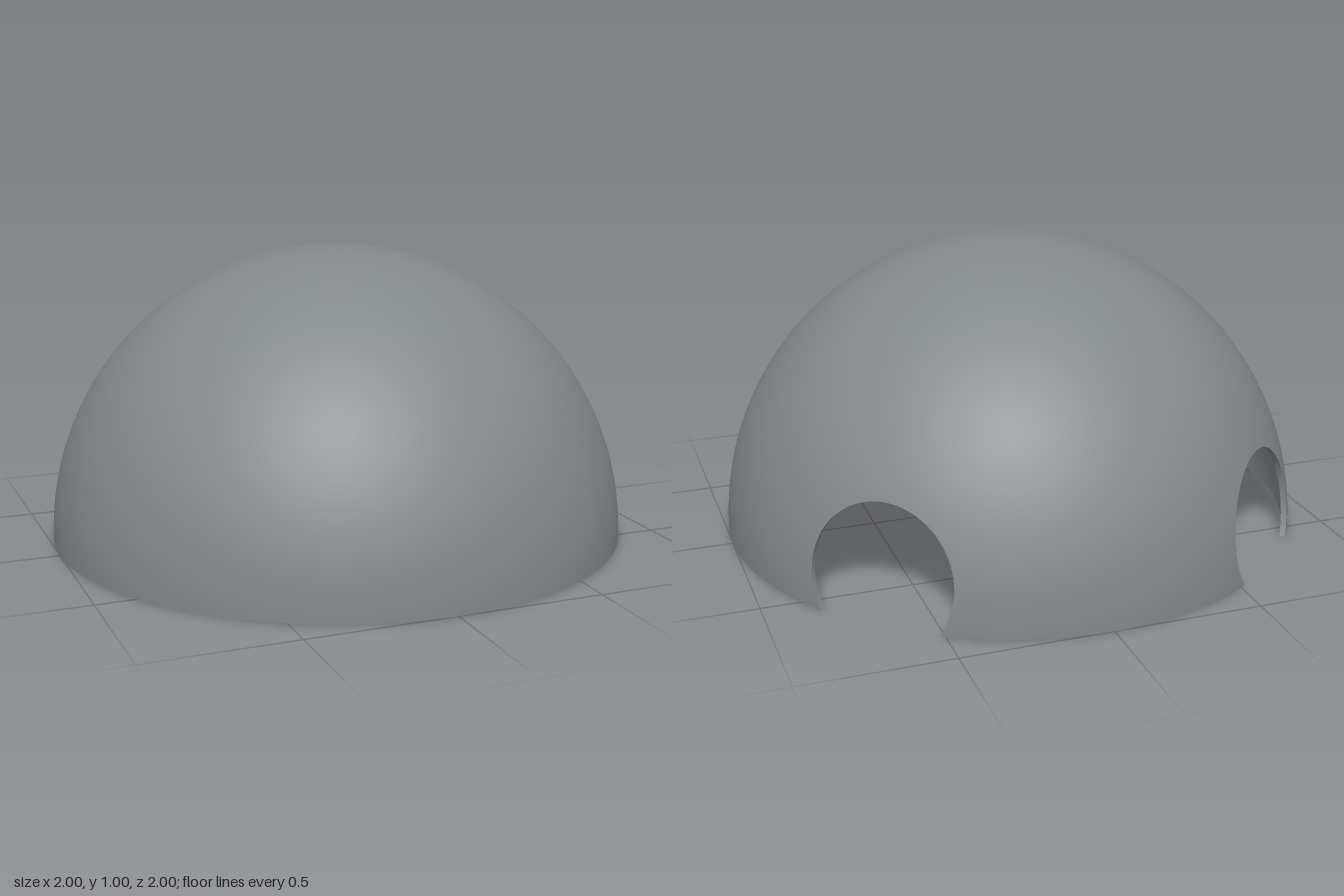
import * as THREE from 'three';
import { mergeGeometries } from 'three/addons/utils/BufferGeometryUtils.js';

const OUTER = 1, INNER = 0.98;
const HOLE = { azimuth: 43, radius: 0.248, height: 0.137 };
const EDGE0 = 21, EDGE1 = 65, TOP = 32, STEP = 2; // panel around each hole, degrees
const rad = THREE.MathUtils.degToRad, deg = THREE.MathUtils.radToDeg;
const lerp = THREE.MathUtils.lerp;

// Point on the dome; azimuth is measured from the back (-z) towards +x
function onDome(R, az, lat) {
  const a = rad(az), l = rad(lat);
  return new THREE.Vector3(R * Math.cos(l) * Math.sin(a), R * Math.sin(l), -R * Math.cos(l) * Math.cos(a));
}

// Grid surface whose faces and normals follow normalAt(point)
function surface(pointAt, normalAt, nu, nv) {
  const pos = [], nor = [], idx = [], pts = [];
  for (let j = 0; j <= nv; j++) for (let i = 0; i <= nu; i++) {
    const p = pointAt(i / nu, j / nv);
    pts.push(p);
    pos.push(p.x, p.y, p.z);
    nor.push(...normalAt(p).normalize().toArray());
  }
  const tri = new THREE.Triangle(), face = new THREE.Vector3();
  const add = (a, b, c) => {
    tri.set(pts[a], pts[b], pts[c]).getNormal(face);
    if (face.dot(normalAt(pts[a])) < 0) idx.push(a, c, b);
    else idx.push(a, b, c);
  };
  for (let j = 0; j < nv; j++) for (let i = 0; i < nu; i++) {
    const a = j * (nu + 1) + i, b = a + 1, c = a + nu + 1, d = c + 1;
    add(a, b, c);
    if (j < nv - 1 || pts[c].distanceTo(pts[d]) > 1e-6) add(b, d, c);
  }
  const g = new THREE.BufferGeometry();
  g.setAttribute('position', new THREE.Float32BufferAttribute(pos, 3));
  g.setAttribute('normal', new THREE.Float32BufferAttribute(nor, 3));
  g.setIndex(idx);
  return g;
}

// Hole outline as [azimuth, latitude], from one foot over the top to the other
function holeEdge(R, t) {
  const foot = -Math.asin(HOLE.height / HOLE.radius);
  const phi = lerp(Math.PI - foot, foot, t);
  const lat = Math.asin((HOLE.height + HOLE.radius * Math.sin(phi)) / R);
  const side = Math.asin(HOLE.radius * Math.cos(phi) / (R * Math.cos(lat)));
  return [HOLE.azimuth + deg(side), deg(lat)];
}

// Panel border: up one side, across and down the other
const across = EDGE1 - EDGE0, borderLength = 2 * TOP + across;
function panelEdge(t) {
  const d = t * borderLength;
  if (d < TOP) return [EDGE0, d];
  if (d < TOP + across) return [EDGE0 + d - TOP, TOP];
  return [EDGE1, borderLength - d];
}

// One skin of the dome with both holes left open
function skin(R, sign) {
  const normal = p => p.clone().multiplyScalar(sign);
  const patch = (a0, a1, l0, l1) => surface(
    (u, v) => onDome(R, lerp(a0, a1, u), lerp(l0, l1, v)), normal,
    Math.round((a1 - a0) / STEP), Math.round((l1 - l0) / STEP));
  const holed = side => surface((u, v) => {
    const h = holeEdge(R, u), e = panelEdge(u);
    return onDome(R, side * lerp(h[0], e[0], v), lerp(h[1], e[1], v));
  }, normal, borderLength / STEP, 12);
  return mergeGeometries([
    patch(0, 360, TOP, 90),
    patch(-EDGE0, EDGE0, 0, TOP),
    patch(EDGE1, 360 - EDGE1, 0, TOP),
    holed(1), holed(-1),
  ]);
}

// Cut thickness around a hole, facing the hole's axis
function holeRim(side) {
  const axis = onDome(1, side * HOLE.azimuth, 0);
  const centre = new THREE.Vector3(0, HOLE.height, 0);
  const normal = p => {
    const q = p.clone().sub(centre);
    return q.addScaledVector(axis, -q.dot(axis)).negate();
  };
  return surface((u, v) => {
    const R = lerp(OUTER, INNER, v), h = holeEdge(R, u);
    return onDome(R, side * h[0], h[1]);
  }, normal, borderLength / STEP, 1);
}

// Flat underside between the feet of the holes
function base(from, to, n) {
  return surface((u, v) => {
    const R = lerp(OUTER, INNER, v);
    return onDome(R, lerp(from(R), to(R), u), 0);
  }, () => new THREE.Vector3(0, -1, 0), n, 1);
}

export function createModel() {
  const model = new THREE.Group();
  model.name = 'dome';
  const grey = new THREE.MeshStandardMaterial({ color: 0x83888a });
  grey.name = 'slate grey';
  const add = (name, geometry) => {
    const mesh = new THREE.Mesh(geometry, grey);
    mesh.name = name;
    model.add(mesh);
  };
  const nearFoot = R => holeEdge(R, 0)[0], farFoot = R => holeEdge(R, 1)[0];

  add('outerShell', skin(OUTER, 1));
  add('innerShell', skin(INNER, -1));
  add('leftHoleRim', holeRim(1));
  add('rightHoleRim', holeRim(-1));
  add('frontBaseEdge', base(farFoot, R => 360 - farFoot(R), 130));
  add('backBaseEdge', base(R => -nearFoot(R), nearFoot, 30));
  return model;
}
